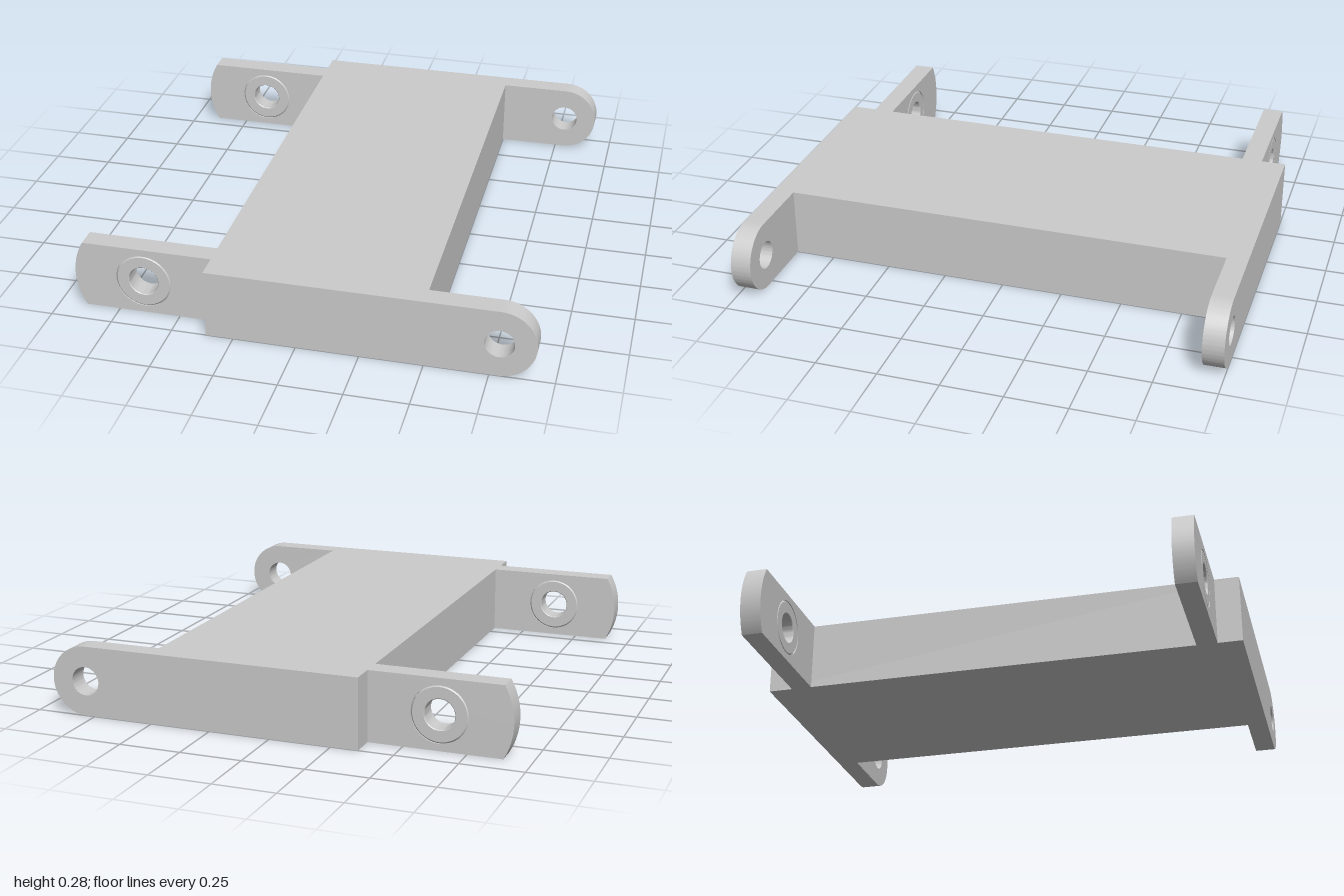
import * as THREE from 'three';
import { toCreasedNormals } from 'three/addons/utils/BufferGeometryUtils.js';

const H = 0.284, R = H / 2;          // plate height and half height
const BACK = -0.36, FRONT = 0.5;     // ends of the central block along x
const EYE_X = 0.785, BUSH_X = -0.643; // pivot centres
const LUG = 0.085;                   // lug thickness

export function createModel() {
  const group = new THREE.Group();
  const material = new THREE.MeshStandardMaterial({ color: 0xcccccc });

  const add = (name, geometry, x, y, z) => {
    const mesh = new THREE.Mesh(geometry, material);
    mesh.name = name;
    mesh.position.set(x, y, z);
    group.add(mesh);
  };
  const plate = (shape, holeX, holeR) => {
    shape.holes.push(new THREE.Path().absarc(holeX, R, holeR, 0, Math.PI * 2, true));
    const geo = new THREE.ExtrudeGeometry(shape, { depth: LUG, bevelEnabled: false, curveSegments: 32 });
    return toCreasedNormals(geo.translate(0, 0, -LUG / 2), 0.5);
  };

  // Central block
  add('body', new THREE.BoxGeometry(FRONT - BACK, H, 2), (FRONT + BACK) / 2, R, 0);

  // Round-ended lug with a plain pivot hole
  const eye = new THREE.Shape();
  eye.moveTo(FRONT, 0);
  eye.lineTo(EYE_X, 0);
  eye.absarc(EYE_X, R, R, -Math.PI / 2, Math.PI / 2, false);
  eye.lineTo(FRONT, H);
  eye.closePath();
  const eyeGeo = plate(eye, EYE_X, 0.058);

  // Lug whose end is a shallow arc centred on its bushing
  const arcR = 0.284, a = Math.asin(R / arcR);
  const tail = new THREE.Shape();
  tail.moveTo(BACK, 0);
  tail.lineTo(BACK, H);
  tail.absarc(BUSH_X, R, arcR, Math.PI - a, Math.PI + a, false);
  tail.closePath();
  const tailGeo = plate(tail, BUSH_X, 0.113);

  // Bushing ring with small chamfers, flush with the lug faces
  const ro = 0.113, ri = 0.06, h = LUG / 2, c = 0.006;
  const profile = [
    [ro, -h + c], [ro, h - c], [ro - c, h], [ri + c / 2, h], [ri, h - c / 2],
    [ri, -h + c / 2], [ri + c / 2, -h], [ro - c, -h], [ro, -h + c],
  ].map(([x, y]) => new THREE.Vector2(x, y));
  const bushGeo = toCreasedNormals(
    new THREE.LatheGeometry(profile, 48).rotateX(Math.PI / 2).toNonIndexed(), 0.5);

  for (const [side, s] of [['front', 1], ['back', -1]]) {
    add(side + 'EyeLug', eyeGeo, 0, 0, s * (1 - LUG / 2));
    add(side + 'BushingLug', tailGeo, 0, 0, s * 0.857);
    add(side + 'Bushing', bushGeo, BUSH_X, R, s * 0.857);
  }
  return group;
}
